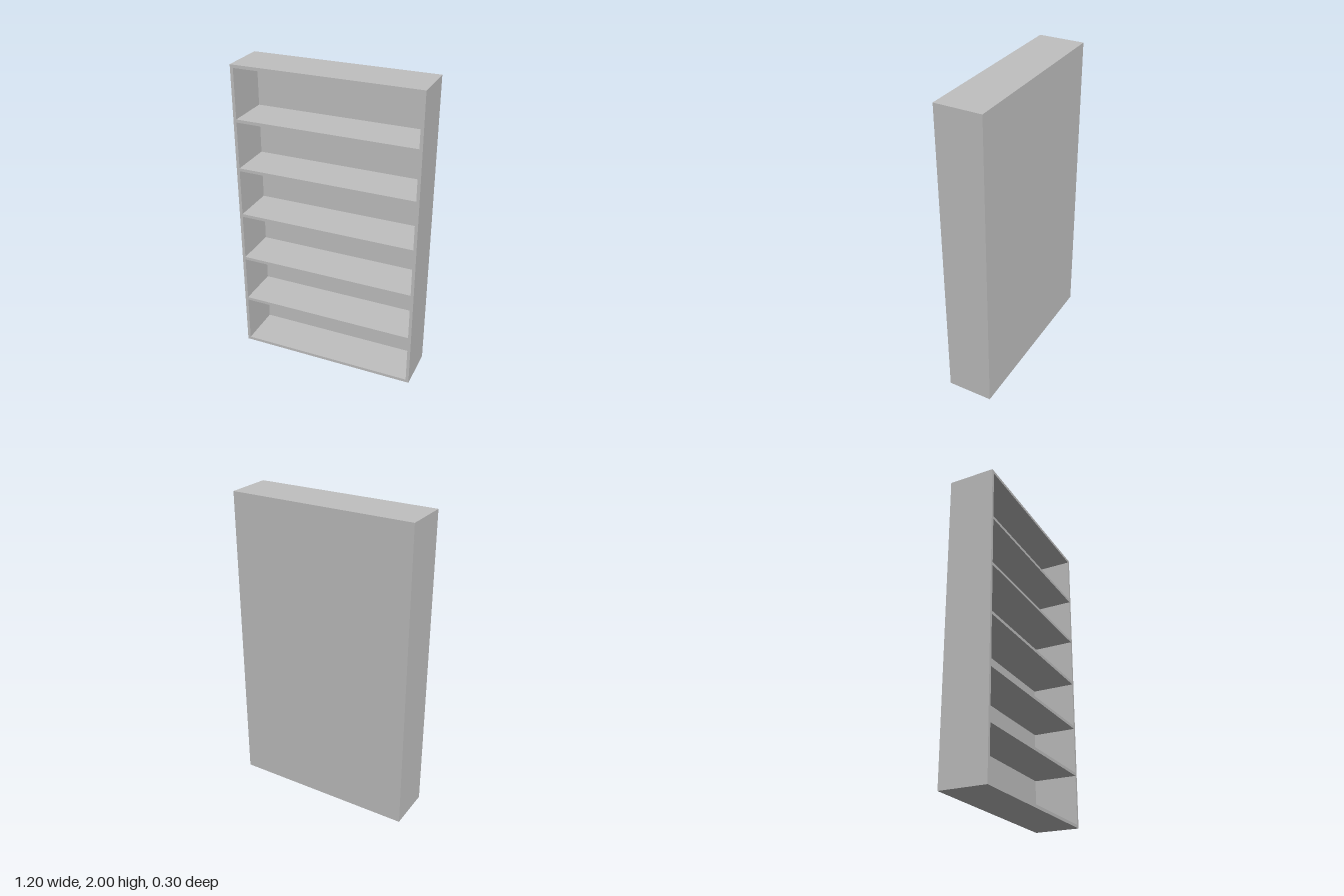
import * as THREE from 'three';

const W = 1.2, H = 2, D = 0.3;   // outer size
const T = 0.02, BACK = 0.01;     // board and back panel thickness
const BAYS = 6, PITCH = 0.325;   // compartments and shelf spacing

// Counter-clockwise rectangle traced onto a shape or hole path
function rect(path, x0, y0, x1, y1) {
  path.moveTo(x0, y0);
  path.lineTo(x1, y0);
  path.lineTo(x1, y1);
  path.lineTo(x0, y1);
  path.closePath();
  return path;
}

export function createModel() {
  const group = new THREE.Group();
  group.name = 'bookcase';
  const grey = new THREE.MeshStandardMaterial({ color: 0xc0c0c0 });
  grey.name = 'light grey';

  // Sides, top, bottom and shelves as one carcass with open bays
  const outline = rect(new THREE.Shape(), -W / 2, 0, W / 2, H);
  const shelfY = (i) => H / 2 + (i - BAYS / 2) * PITCH;
  for (let i = 0; i < BAYS; i++) {
    const bottom = i === 0 ? T : shelfY(i) + T / 2;
    const top = i === BAYS - 1 ? H - T : shelfY(i + 1) - T / 2;
    outline.holes.push(rect(new THREE.Path(), -W / 2 + T, bottom, W / 2 - T, top));
  }
  const carcass = new THREE.Mesh(
    new THREE.ExtrudeGeometry(outline, { depth: D - BACK, bevelEnabled: false }), grey);
  carcass.name = 'frameAndShelves';
  carcass.position.z = -D / 2 + BACK;
  group.add(carcass);

  // Back panel closing the bays
  const back = new THREE.Mesh(new THREE.BoxGeometry(W, H, BACK), grey);
  back.name = 'backPanel';
  back.position.set(0, H / 2, -D / 2 + BACK / 2);
  group.add(back);

  return group;
}
